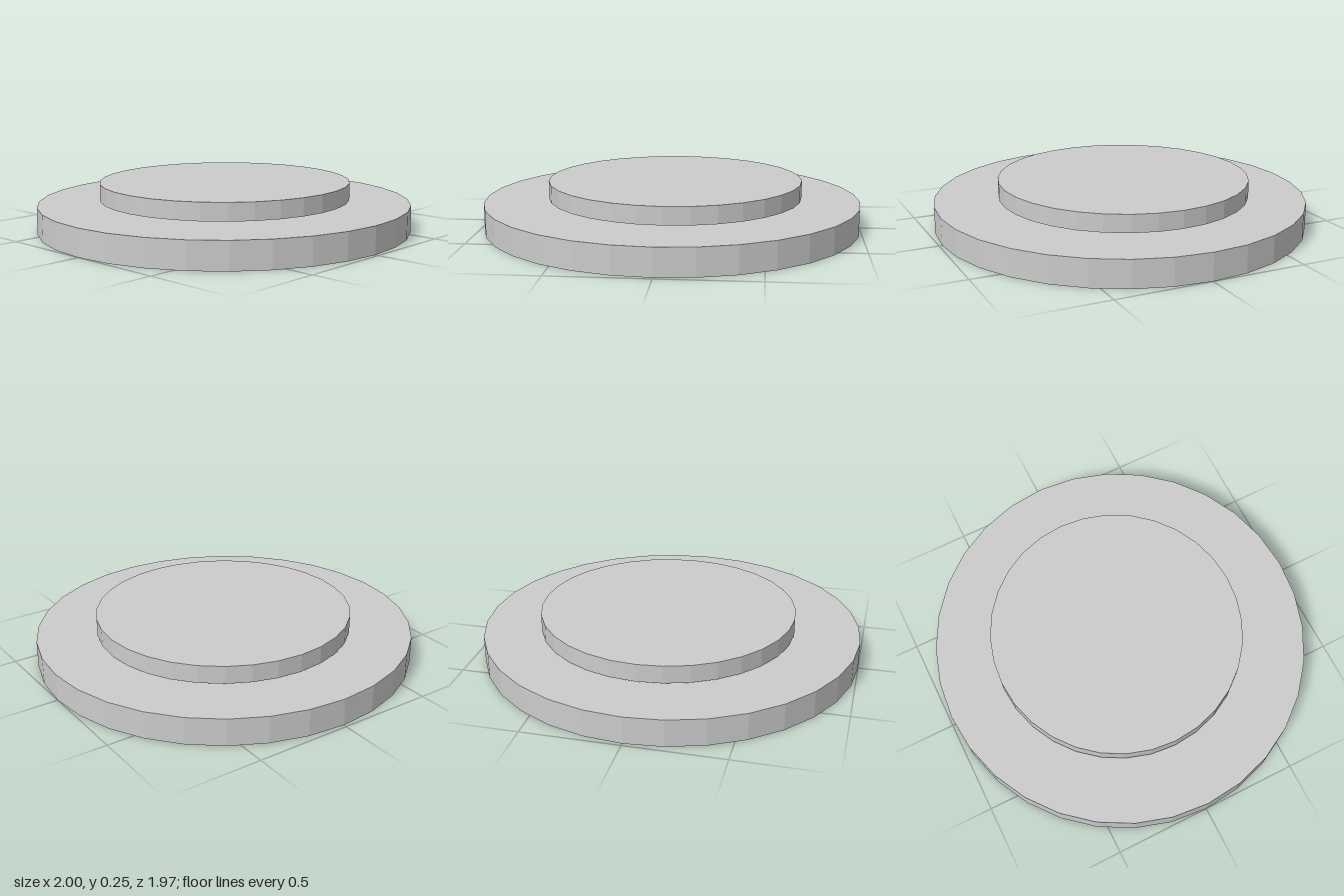
import * as THREE from 'three';

const material = new THREE.MeshStandardMaterial({ color: 0xcccccc, flatShading: true });

// Faceted, slightly oval disc standing between two heights
function disc(name, radiusX, radiusZ, bottom, top, x, z) {
  const geometry = new THREE.CylinderGeometry(1, 1, top - bottom, 32);
  geometry.scale(radiusX, 1, radiusZ);
  const mesh = new THREE.Mesh(geometry, material);
  mesh.name = name;
  mesh.position.set(x, (bottom + top) / 2, z);
  return mesh;
}

export function createModel() {
  const model = new THREE.Group();
  model.name = 'steppedDisc';
  // Wide base plate
  model.add(disc('basePlate', 1, 0.984, 0, 0.142, 0, 0));
  // Smaller disc, a little off centre and floating just above the base
  model.add(disc('upperDisc', 0.675, 0.664, 0.156, 0.249, 0.016, -0.013));
  return model;
}
